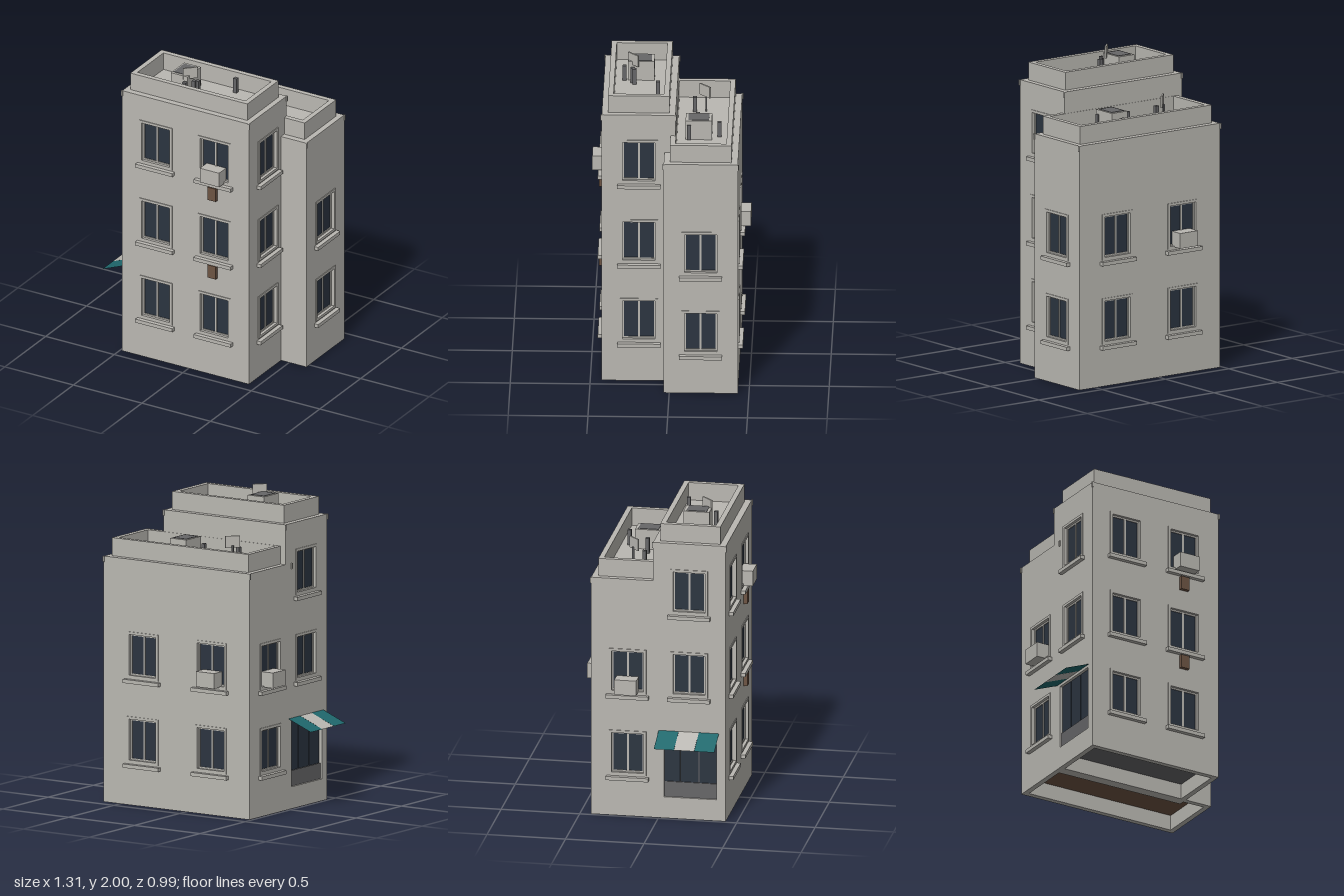
import * as THREE from 'three';

const material = (name, color) => {
  const m = new THREE.MeshStandardMaterial({ color });
  m.name = name;
  return m;
};

export function createModel() {
  const plaster = material('plaster', 0xbab8b2);
  const glass = material('dark glass', 0x2b3440);
  const metal = material('dark metal', 0x666668);
  const teal = material('teal cloth', 0x1f686d);
  const wood = material('brown wood', 0x6d5443);
  const cloth = material('pale cloth', 0xbab8b2);
  cloth.side = teal.side = THREE.DoubleSide;

  const root = new THREE.Group();
  root.name = 'building';
  const T = 0.035; // wall thickness
  const FLOORS = [0.27, 0.81, 1.355]; // bottoms of the window frames

  const add = (parent, name, geo, mat, x = 0, y = 0, z = 0) => {
    const m = new THREE.Mesh(geo, mat);
    m.name = name;
    m.position.set(x, y, z);
    parent.add(m);
    return m;
  };
  // box given by its centre in x and z and its bottom in y
  const box = (parent, name, mat, w, h, d, x, y, z) =>
    add(parent, name, new THREE.BoxGeometry(w, h, d), mat, x, y + h / 2, z);

  const rect = (C, x0, y0, x1, y1) => {
    const p = new C();
    p.moveTo(x0, y0);
    p.lineTo(x1, y0);
    p.lineTo(x1, y1);
    p.lineTo(x0, y1);
    p.closePath();
    return p;
  };
  const extrude = (shape, depth) => new THREE.ExtrudeGeometry(shape, { depth, bevelEnabled: false });
  // rectangular ring with outer half sizes a, b and border t
  const ring = (a, b, t, depth) => {
    const s = rect(THREE.Shape, -a, -b, a, b);
    s.holes.push(rect(THREE.Path, -a + t, -b + t, a - t, b - t));
    return extrude(s, depth);
  };

  // recessed double window with trim and sill
  function windowUnit(wall, u, y) {
    const g = new THREE.Group();
    g.name = 'window';
    g.position.set(u, y, 0);
    wall.add(g);
    add(g, 'windowTrim', ring(0.119, 0.147, 0.017, 0.01), plaster, 0, 0.147, -0.005);
    add(g, 'windowFrame', ring(0.103, 0.131, 0.01, 0.015), plaster, 0, 0.147, -0.03);
    box(g, 'mullion', plaster, 0.012, 0.26, 0.015, 0, 0.017, -0.0225);
    for (const s of [-1, 1]) box(g, 'pane', glass, 0.092, 0.26, 0.006, s * 0.05, 0.017, -0.024);
    box(g, 'sill', plaster, 0.27, 0.024, 0.04, 0, -0.032, 0.008);
  }

  // shop front with three panes over a low panel
  function shopFront(wall, u) {
    for (let i = -1; i <= 1; i++) box(wall, 'shopPane', glass, 0.11, 0.32, 0.006, u + i * 0.116, 0.24, -0.022);
    box(wall, 'shopBacking', metal, 0.35, 0.42, 0.006, u, 0.14, -0.03);
    box(wall, 'shopPanel', metal, 0.35, 0.1, 0.012, u, 0.14, -0.018);
  }

  function makeWall(parent, name, width, height, columns, floors, shop) {
    const wall = new THREE.Group();
    wall.name = name;
    parent.add(wall);
    const s = rect(THREE.Shape, -width / 2, 0, width / 2, height);
    for (const u of columns) {
      for (let f = 0; f < floors; f++) {
        if (shop && f === 0) {
          s.holes.push(rect(THREE.Path, u - 0.175, 0.14, u + 0.175, 0.56));
          shopFront(wall, u);
        } else {
          const y = FLOORS[f];
          s.holes.push(rect(THREE.Path, u - 0.102, y + 0.016, u + 0.102, y + 0.278));
          windowUnit(wall, u, y);
        }
      }
    }
    add(wall, 'wallPanel', extrude(s, T), plaster, 0, 0, -T);
    return wall;
  }

  // hollow block: walls, floor slab, roof, parapet; columns are listed as world x or z
  function block(name, x0, x1, z0, z1, h, cols, floors, floorMat, shop) {
    const g = new THREE.Group();
    g.name = name;
    root.add(g);
    const w = x1 - x0, d = z1 - z0, cx = (x0 + x1) / 2, cz = (z0 + z1) / 2;
    const place = (wall, x, z, turn) => {
      wall.position.set(x, 0, z);
      wall.rotation.y = turn;
    };
    place(makeWall(g, 'frontWall', w, h, cols.front.map(x => x - cx), floors), cx, z1, 0);
    place(makeWall(g, 'backWall', w, h, cols.back.map(x => cx - x), floors), cx, z0, Math.PI);
    place(makeWall(g, 'leftWall', d, h, cols.side.map(z => cz - z), floors), x1, cz, Math.PI / 2);
    place(makeWall(g, 'rightWall', d, h, cols.side.map(z => z - cz), floors, shop), x0, cz, -Math.PI / 2);
    box(g, 'floorSlab', floorMat, w - 2 * T, 0.02, d - 2 * T, cx, 0.1, cz);
    box(g, 'roofDeck', plaster, w - 0.01, 0.03, d - 0.01, cx, h - 0.03, cz);
    const parapet = add(g, 'parapet', ring(w / 2 - 0.036, d / 2 - 0.04, 0.033, 0.116), plaster, cx, h - 0.001, cz);
    parapet.rotation.x = -Math.PI / 2;
    for (const x of [x0, x1]) for (const z of [z0, z1])
      box(g, 'cornerCap', plaster, 0.012, 0.036, 0.012, x, h - 0.036, z);
    return g;
  }

  const front = block('frontBlock', -0.485, 0.44, -0.035, 0.428, 1.82,
    { front: [-0.238, 0.188], back: [], side: [0.195] }, 3, metal, true);
  const rear = block('rearBlock', -0.485, 0.625, -0.43, 0.035, 1.566,
    { front: [], back: [-0.19, 0.328], side: [-0.197] }, 2, wood, false);

  // roof vent, pipes and a diagonal panel on a post
  function roofKit(parent, y, vent, panel, pipes) {
    const [vx, vz] = vent, [px, pz] = panel;
    box(parent, 'roofVent', plaster, 0.122, 0.128, 0.165, vx, y, vz);
    box(parent, 'ventGrille', metal, 0.1, 0.006, 0.13, vx, y + 0.125, vz);
    for (const [x, z] of pipes) box(parent, 'pipe', metal, 0.024, 0.1, 0.024, x, y, z);
    box(parent, 'panelPost', metal, 0.012, 0.12, 0.012, px - 0.006, y, pz - 0.006);
    box(parent, 'roofPanel', plaster, 0.092, 0.075, 0.01, px, y + 0.105, pz).rotation.y = Math.PI / 4;
  }
  roofKit(front, 1.82, [-0.16, 0.193], [-0.1, 0.242],
    [[-0.105, 0.298], [-0.066, 0.247], [-0.047, 0.235], [0.138, 0.082]]);
  roofKit(rear, 1.566, [0.177, -0.175], [-0.2, -0.205],
    [[0.184, -0.304], [0.044, -0.165], [-0.202, -0.14], [0.235, -0.115]]);

  // cooling units on three window sills
  box(root, 'coolingUnit', plaster, 0.14, 0.098, 0.09, 0.19, 1.36, 0.447);
  box(root, 'coolingUnit', plaster, 0.14, 0.098, 0.09, -0.19, 0.82, -0.45);
  box(root, 'coolingUnit', plaster, 0.09, 0.098, 0.14, -0.508, 0.82, -0.2);

  // wooden plaques below the upper sills
  for (const y of [0.685, 1.228]) box(root, 'plaque', wood, 0.06, 0.088, 0.024, 0.182, y, 0.44);

  // striped awning over the shop front
  const slope = Math.hypot(0.17, 0.068);
  for (let i = 0; i < 3; i++) {
    const geo = new THREE.PlaneGeometry(slope, 0.128).rotateX(-Math.PI / 2).rotateZ(Math.atan2(0.068, 0.17));
    add(root, 'awningStripe', geo, i === 1 ? cloth : teal, -0.57, 0.544, 0.064 + i * 0.1285);
  }
  return root;
}
